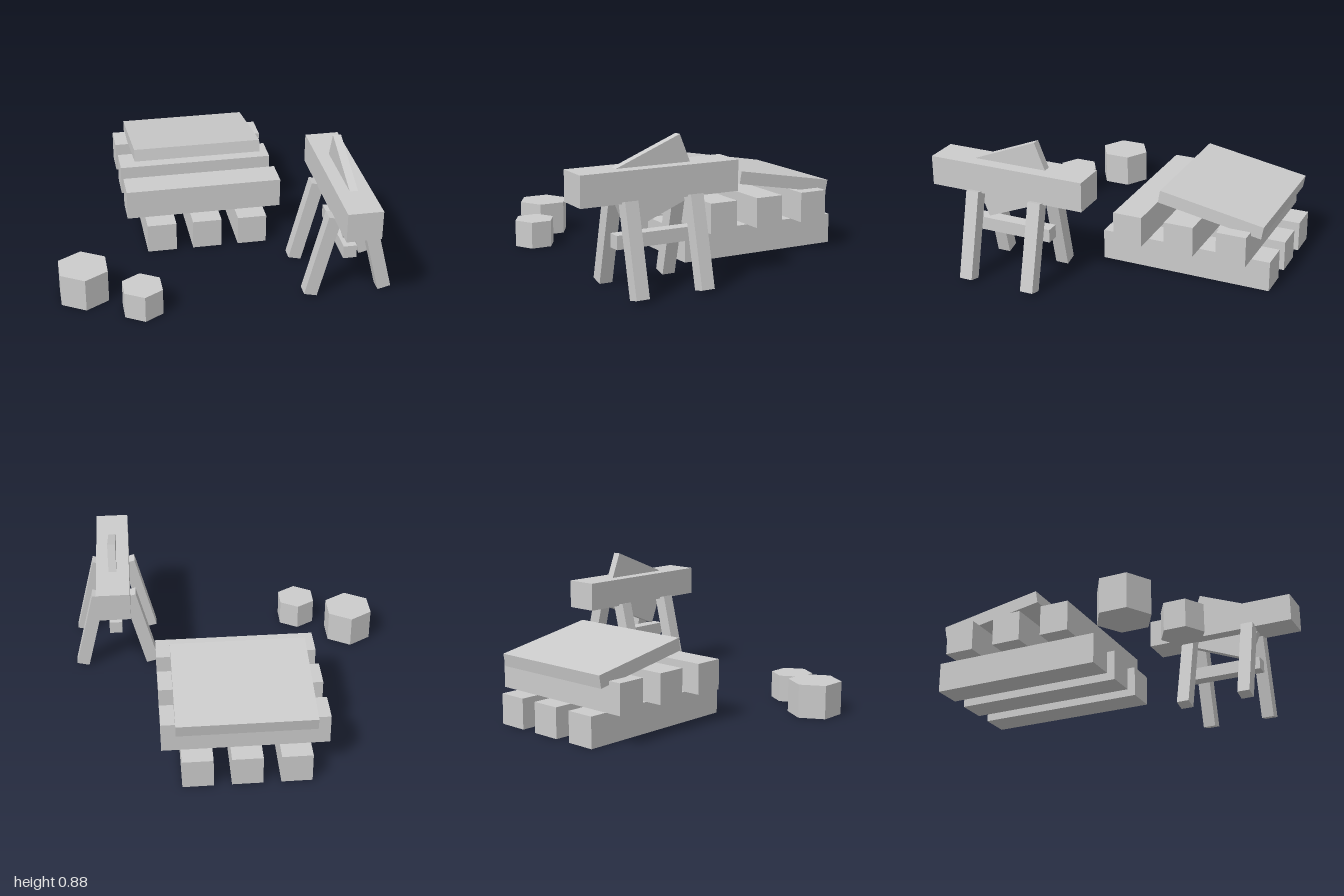
import * as THREE from 'three';

const material = new THREE.MeshStandardMaterial({ color: 0xcccccc, flatShading: true });
const rad = THREE.MathUtils.degToRad;

function add(parent, name, geometry, x, y, z) {
  const mesh = new THREE.Mesh(geometry, material);
  mesh.name = name;
  mesh.position.set(x, y, z);
  parent.add(mesh);
  return mesh;
}

const box = (parent, name, w, h, d, x, y, z) =>
  add(parent, name, new THREE.BoxGeometry(w, h, d), x, y, z);

function group(parent, name) {
  const g = new THREE.Group();
  g.name = name;
  parent.add(g);
  return g;
}

export function createModel() {
  const model = new THREE.Group();
  model.name = 'timberYard';

  // Two crossed layers of beams with a tilted board on top
  const stack = group(model, 'timberStack');
  for (const i of [-1, 0, 1]) {
    box(stack, 'lowerBeam', 0.186, 0.19, 1.083, -0.025 + i * 0.293, 0.095, -0.458);
    box(stack, 'upperBeam', 1, 0.19, 0.186, -0.025, 0.285, -0.459 + i * 0.332);
  }
  const board = box(stack, 'tiltedBoard', 0.83, 0.08, 0.667, -0.025, 0.443, -0.626);
  board.rotation.x = rad(-10);

  // Sawhorse with four splayed legs
  const sawhorse = group(model, 'sawhorse');
  sawhorse.position.set(0.725, 0, 0.5);
  box(sawhorse, 'topBeam', 0.21, 0.183, 1, 0, 0.62, 0);
  for (const side of [-1, 1]) {
    for (const end of [-1, 1]) {
      const leg = box(sawhorse, 'leg', 0.082, 0.543, 0.082, side * 0.166, 0.274, end * 0.207);
      leg.rotation.z = rad(14) * side;
    }
  }
  box(sawhorse, 'stretcher', 0.082, 0.082, 0.5, 0, 0.295, 0);

  // Slanted blade cutting through the top beam
  const blade = box(sawhorse, 'sawBlade', 0.05, 0.37, 0.5, 0, 0.61, 0.003);
  blade.rotation.x = rad(22);

  // Hexagonal stumps
  for (const [r, h, x, z] of [[0.165, 0.21, -0.858, 0.497], [0.132, 0.17, -0.525, 0.705]]) {
    add(model, 'stump', new THREE.CylinderGeometry(r, r, h, 6), x, h / 2, z);
  }

  return model;
}
